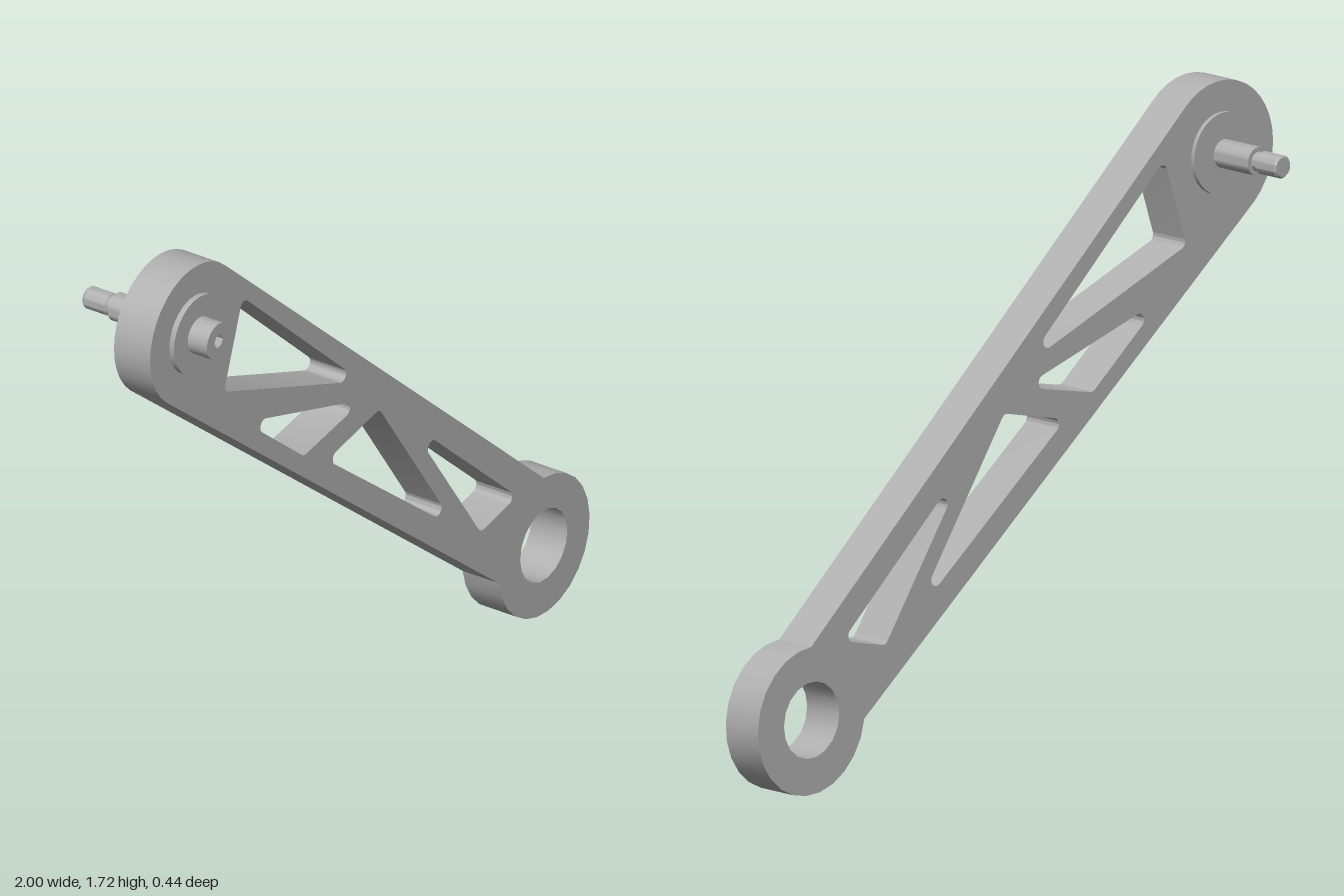
import * as THREE from 'three';
import { toCreasedNormals } from 'three/addons/utils/BufferGeometryUtils.js';

const V = (x, y) => new THREE.Vector2(x, y);
const rad = THREE.MathUtils.degToRad;

// Clockwise polygon whose corners are rounded by arcs of radius r
function roundedHole(corners, r) {
  const path = new THREE.Path();
  const n = corners.length;
  corners.forEach((p, i) => {
    const a = corners[(i + n - 1) % n].clone().sub(p).normalize();
    const b = corners[(i + 1) % n].clone().sub(p).normalize();
    const half = Math.acos(a.dot(b)) / 2;
    const c = a.clone().add(b).normalize().multiplyScalar(r / Math.sin(half)).add(p);
    const t = r / Math.tan(half);
    const s = a.multiplyScalar(t).add(p).sub(c);
    const e = b.multiplyScalar(t).add(p).sub(c);
    path.absarc(c.x, c.y, r, s.angle(), e.angle(), true);
  });
  path.closePath();
  return path;
}

function extrude(shape, depth, z, curveSegments) {
  const g = new THREE.ExtrudeGeometry(shape, { depth, bevelEnabled: false, curveSegments });
  g.translate(0, 0, z);
  return toCreasedNormals(g, 0.5);
}

export function createModel() {
  const grey = new THREE.MeshStandardMaterial({ color: 0xb0b0b0 });
  grey.name = 'metal grey';
  const model = new THREE.Group();
  model.name = 'linkArm';
  const add = (parent, name, geometry) => {
    const mesh = new THREE.Mesh(geometry, grey);
    mesh.name = name;
    parent.add(mesh);
    return mesh;
  };

  // Whole assembly is turned slightly about the vertical
  const assembly = new THREE.Group();
  assembly.name = 'assembly';
  assembly.position.z = 0.04;
  assembly.rotation.y = 0.0495;
  model.add(assembly);

  // Arm plate: rounded upper end, straight flanks, round eye at the lower end
  const plate = new THREE.Shape();
  plate.absarc(-0.794, 1.516, 0.204, rad(47), rad(230), false);
  plate.absarc(0.788, 0.208, 0.207, rad(188), rad(450), false);
  plate.closePath();

  const eye = new THREE.Path();
  eye.absarc(0.787, 0.21, 0.107, 0, Math.PI * 2, true);
  plate.holes.push(eye);

  // Triangular lightening holes
  const triangles = [
    [[-0.578, 1.537], [-0.038, 1.055], [-0.663, 1.283]],
    [[-0.569, 1.151], [-0.03, 0.995], [-0.301, 0.936]],
    [[0.042, 0.936], [0.393, 0.427], [-0.195, 0.879]],
    [[0.173, 0.842], [0.667, 0.41], [0.501, 0.369]],
  ];
  for (const t of triangles) {
    plate.holes.push(roundedHole(t.map(([x, y]) => V(x, y)), 0.02));
  }
  add(assembly, 'armPlate', extrude(plate, 0.122, -0.061, 9));

  // Bolt through the upper end
  const bolt = new THREE.Group();
  bolt.name = 'bolt';
  bolt.position.set(-0.796, 1.518, 0);
  assembly.add(bolt);

  // Stepped shank with a washer flange on each face
  const profile = [
    [0, -0.298], [0.027, -0.298], [0.032, -0.292], [0.032, -0.222], [0.027, -0.218], [0.027, -0.203],
    [0.04, -0.203], [0.04, -0.073], [0.115, -0.073], [0.115, 0.077], [0, 0.077],
  ].map(([r, y]) => V(r, y));
  const shank = new THREE.LatheGeometry(profile, 28);
  shank.rotateX(Math.PI / 2);
  add(bolt, 'shankAndWashers', toCreasedNormals(shank, 0.5));

  // Cap head with a hexagonal socket
  const head = new THREE.Shape();
  head.absarc(0, 0, 0.053, 0, Math.PI * 2, false);
  const socket = [];
  for (let i = 0; i < 6; i++) {
    const a = -i * Math.PI / 3;
    socket.push(V(0.02 * Math.cos(a), 0.02 * Math.sin(a)));
  }
  head.holes.push(new THREE.Path(socket));
  add(bolt, 'capHead', extrude(head, 0.065, 0.077, 12));

  return model;
}
